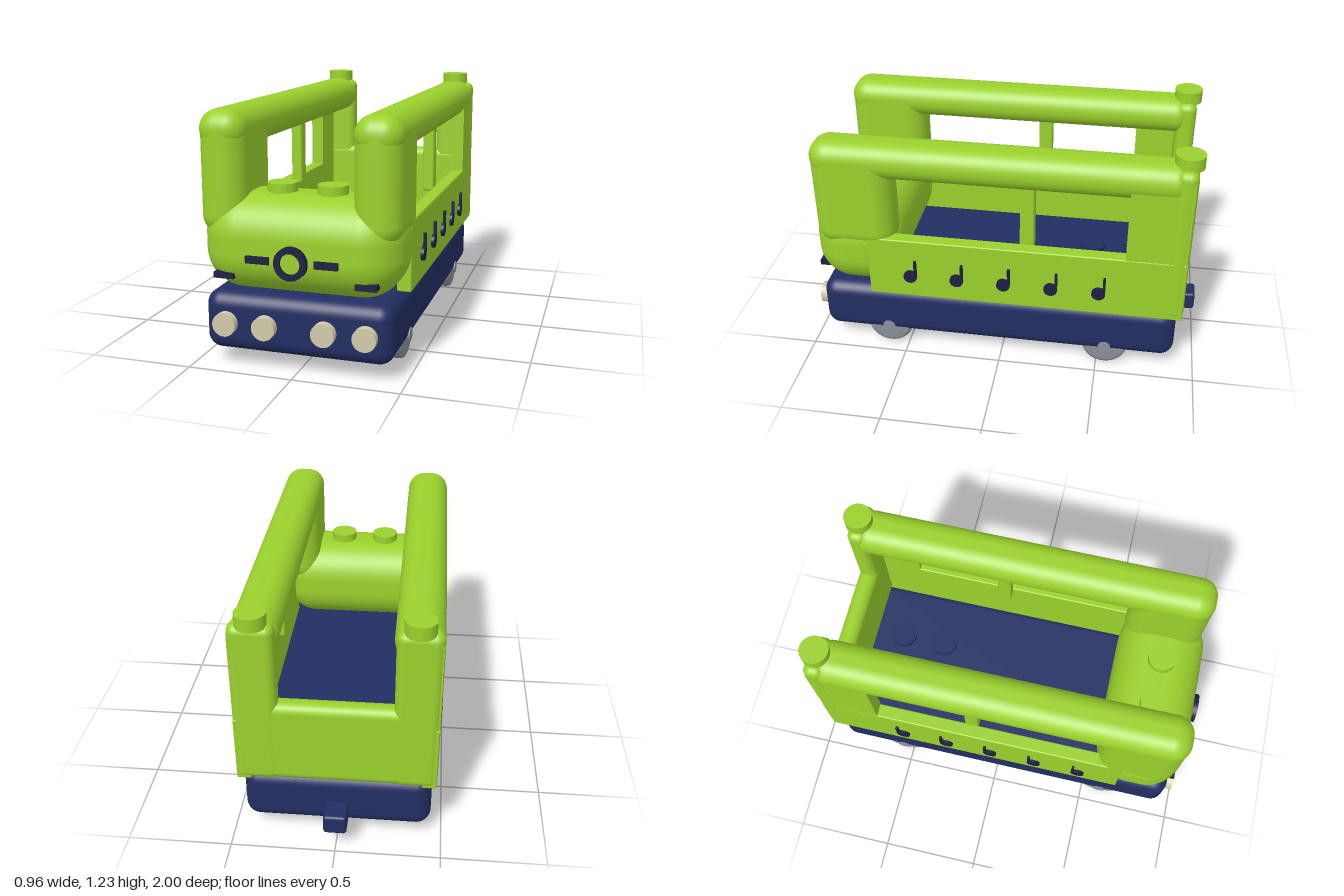
import * as THREE from 'three';
import { RoundedBoxGeometry } from 'three/addons/geometries/RoundedBoxGeometry.js';

const material = (name, color) => {
  const m = new THREE.MeshStandardMaterial({ color });
  m.name = name;
  return m;
};

export function createModel() {
  const green = material('lime green', 0x9ad12d);
  const navy = material('navy blue', 0x222e63);
  const ink = material('dark ink', 0x1d2042);
  const cream = material('lamp cream', 0xd2cbab);
  const grey = material('wheel grey', 0x8c9099);
  const model = new THREE.Group();
  model.name = 'toyBus';

  const add = (name, geometry, mat, x = 0, y = 0, z = 0, parent = model) => {
    const mesh = new THREE.Mesh(geometry, mat);
    mesh.name = name;
    mesh.position.set(x, y, z);
    parent.add(mesh);
    return mesh;
  };
  // Box given by its limits on each axis, with optional rounded edges
  const block = (name, mat, [x0, x1], [y0, y1], [z0, z1], r = 0) => {
    const size = [x1 - x0, y1 - y0, z1 - z0];
    const g = r ? new RoundedBoxGeometry(...size, 8, r) : new THREE.BoxGeometry(...size);
    return add(name, g, mat, (x0 + x1) / 2, (y0 + y1) / 2, (z0 + z1) / 2);
  };
  // The same box on the left or the right side
  const sideBlock = (s, name, mat, [a, b], ...rest) =>
    block(name, mat, s > 0 ? [a, b] : [-b, -a], ...rest);
  // Upright disc standing on y
  const stud = (name, mat, x, y, z, h) =>
    add(name, new THREE.CylinderGeometry(0.07, 0.07, h, 40), mat, x, y + h / 2, z);
  // Disc facing forwards
  const frontDisc = (name, mat, r, depth, x, y, z) => {
    const g = new THREE.CylinderGeometry(r, r, depth, 40).rotateX(Math.PI / 2);
    return add(name, g, mat, x, y, z);
  };

  // Chassis, hitch and bonnet
  block('chassis', navy, [-0.445, 0.445], [0.075, 0.355], [-0.89, 0.945], 0.07);
  block('hitch', navy, [-0.055, 0.055], [0.11, 0.21], [-1, -0.86], 0.015);
  block('bonnet', green, [-0.47, 0.47], [0.352, 0.805], [0.52, 0.972], 0.19);

  // Rear wall
  block('rearWall', green, [-0.44, 0.44], [0.345, 0.77], [-0.915, -0.815], 0.045);

  for (const s of [1, -1]) {
    // Side wall, window frame, pillars and roof rail
    sideBlock(s, 'sideWall', green, [0.395, 0.465], [0.345, 0.68], [-0.912, 0.67], 0.008);
    sideBlock(s, 'rearSidePanel', green, [0.395, 0.463], [0.66, 1.12], [-0.905, -0.615]);
    sideBlock(s, 'windowBar', green, [0.34, 0.4], [0.66, 1.05], [-0.165, -0.092], 0.012);
    sideBlock(s, 'rearPost', green, [0.26, 0.467], [0.345, 1.17], [-0.917, -0.817], 0.04);
    sideBlock(s, 'frontPillar', green, [0.25, 0.47], [0.6, 1.18], [0.53, 0.937], 0.1);
    sideBlock(s, 'roofRail', green, [0.25, 0.47], [0.995, 1.18], [-0.9, 0.937], 0.09);
    stud('rearCap', green, s * 0.36, 1.16, -0.87, 0.065);
    stud('bonnetStud', green, s * 0.12, 0.79, 0.75, 0.055);
    for (const z of [-0.43, -0.665]) stud('floorStud', navy, s * 0.12, 0.35, z, 0.03);

    // Headlamps and front trim
    for (const x of [0.14, 0.33]) frontDisc('headlamp', cream, 0.055, 0.05, s * x, 0.215, 0.957);
    sideBlock(s, 'upperTrim', ink, [0.105, 0.215], [0.516, 0.55], [0.955, 0.983]);
    sideBlock(s, 'lowerTrim', ink, [0.283, 0.38], [0.429, 0.456], [0.86, 0.96]);

    // Wheels with rounded tyres and hubs
    for (const z of [0.597, -0.54]) {
      const wheel = new THREE.Group();
      wheel.name = 'wheel';
      wheel.position.set(s * 0.378, 0.118, z);
      const profile = [[0, -0.053], [0.095, -0.053], [0.111, -0.046], [0.118, -0.03],
        [0.118, 0.03], [0.111, 0.046], [0.095, 0.053], [0, 0.053]]
        .map(([r, h]) => new THREE.Vector2(r, h));
      add('tyre', new THREE.LatheGeometry(profile, 40).rotateZ(Math.PI / 2), grey, 0, 0, 0, wheel);
      add('hub', new THREE.CylinderGeometry(0.032, 0.032, 0.04, 24).rotateZ(Math.PI / 2),
        grey, s * 0.052, 0, 0, wheel);
      model.add(wheel);
    }

    // Musical notes along the side
    for (let i = 0; i < 5; i++) {
      const z = 0.453 - i * 0.237;
      const note = new THREE.Group();
      note.name = 'musicalNote';
      note.position.set(s * 0.472, 0.473, z);
      const head = new THREE.CylinderGeometry(0.034, 0.034, 0.016, 28).rotateZ(Math.PI / 2);
      add('noteHead', head, ink, 0, 0, 0, note);
      add('noteStem', new THREE.BoxGeometry(0.016, 0.095, 0.013), ink, 0, 0.047, -0.027, note);
      model.add(note);
    }
  }

  // Round front badge: dark ring around a green disc
  const ring = new THREE.Shape().absarc(0, 0, 0.075, 0, Math.PI * 2);
  ring.holes.push(new THREE.Path().absarc(0, 0, 0.047, 0, Math.PI * 2, true));
  add('badgeRing', new THREE.ExtrudeGeometry(ring, { depth: 0.045, bevelEnabled: false, curveSegments: 32 }),
    ink, 0, 0.532, 0.955);
  frontDisc('badgeCentre', green, 0.048, 0.03, 0, 0.532, 0.972);

  return model;
}
